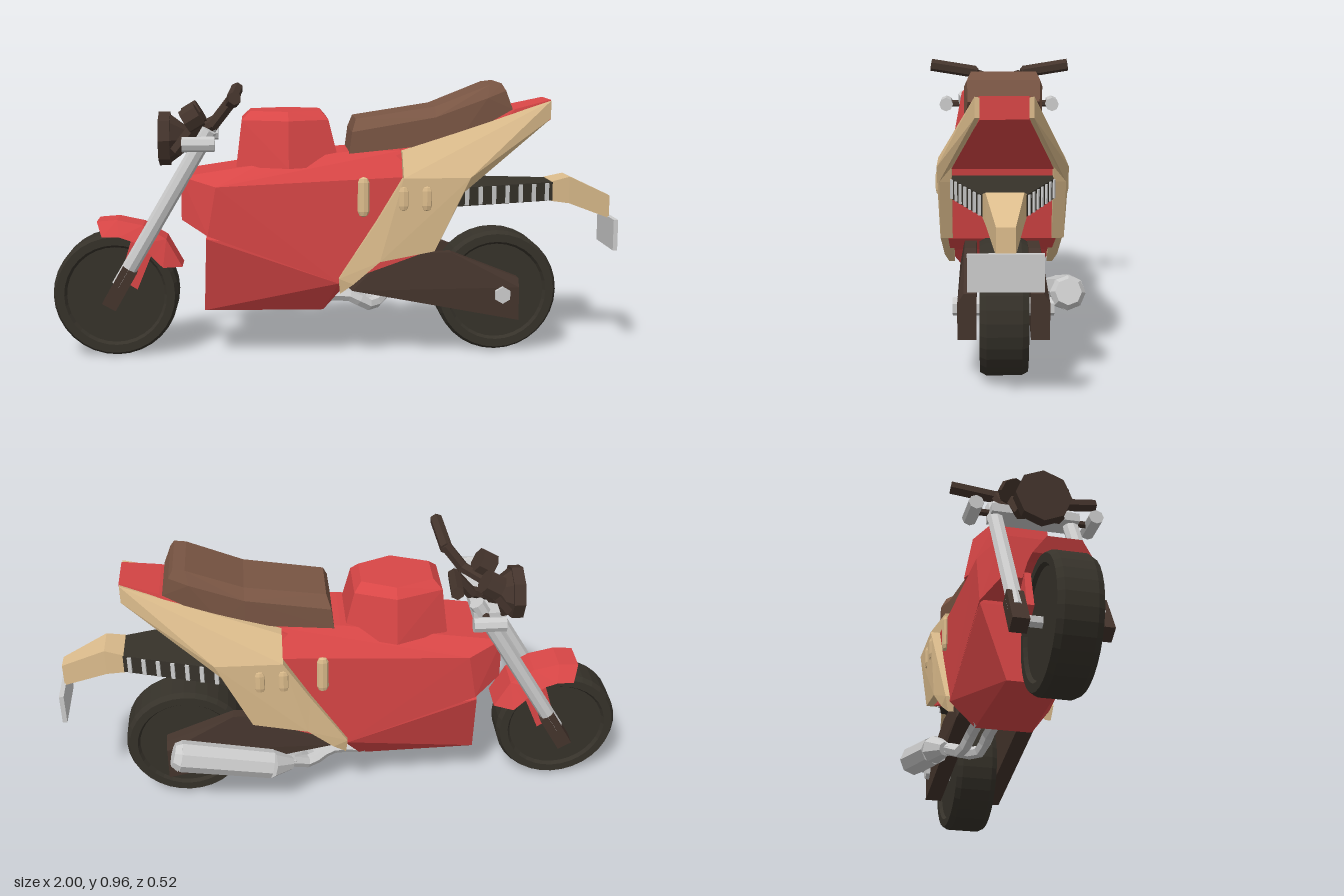
import * as THREE from 'three';
import { ConvexGeometry } from 'three/addons/geometries/ConvexGeometry.js';

const mat = (color) => new THREE.MeshStandardMaterial({ color, flatShading: true });
const red = mat(0xd84646), beige = mat(0xdcbc8c), brown = mat(0x7a5644);
const dark = mat(0x44342c), rubber = mat(0x36322a), grey = mat(0xcccccc);
const V = (p) => new THREE.Vector3(...p);
const flip = ([x, y, z]) => [x, y, -z];

export function createModel() {
  const bike = new THREE.Group();
  const add = (name, geometry, material) => {
    const mesh = new THREE.Mesh(geometry, material);
    mesh.name = name;
    bike.add(mesh);
    return mesh;
  };

  // Faceted solid around points; sym spans both sides, pair repeats it on each side
  const hull = (name, material, pts) => add(name, new ConvexGeometry(pts.map(V)), material);
  const sym = (name, material, pts) => hull(name, material, [...pts, ...pts.map(flip)]);
  const pair = (name, material, pts) => {
    hull(name + 'Left', material, pts);
    hull(name + 'Right', material, pts.map(flip));
  };
  // Panel with an outline in x, y and its own outer z per corner
  const panel = (name, material, inner, pts) =>
    pair(name, material, pts.flatMap(([x, y, z]) => [[x, y, inner], [x, y, z]]));

  const rod = (name, material, a, b, r, sides = 8, r2 = r) => {
    const dir = V(b).sub(V(a));
    const mesh = add(name, new THREE.CylinderGeometry(r2, r, dir.length(), sides), material);
    mesh.position.copy(V(a)).addScaledVector(dir, 0.5);
    mesh.quaternion.setFromUnitVectors(new THREE.Vector3(0, 1, 0), dir.normalize());
    return mesh;
  };
  const box = (name, material, size, pos) => {
    const mesh = add(name, new THREE.BoxGeometry(...size), material);
    mesh.position.set(...pos);
    return mesh;
  };

  // Wheels
  const wheel = (name, x, r, w) => {
    const profile = [[0, -w + 0.012], [r * 0.78, -w + 0.012], [r * 0.82, -w], [r * 0.95, -w], [r, -w + 0.02],
      [r, w - 0.02], [r * 0.95, w], [r * 0.82, w], [r * 0.78, w - 0.012], [0, w - 0.012]];
    const geo = new THREE.LatheGeometry(profile.map((p) => new THREE.Vector2(...p)), 32);
    const mesh = add(name, geo.rotateX(Math.PI / 2), rubber);
    mesh.position.set(x, 0.223, 0);
  };
  wheel('frontWheel', -0.78, 0.219, 0.07);
  wheel('rearWheel', 0.572, 0.217, 0.075);

  // Front mudguard: a chain of faceted segments, with a stay on each side
  const guard = [[-0.84, 0.485, -0.82, 0.435], [-0.77, 0.49, -0.76, 0.435], [-0.68, 0.47, -0.69, 0.41],
    [-0.6, 0.42, -0.645, 0.36], [-0.545, 0.32, -0.61, 0.325]];
  for (let i = 0; i < guard.length - 1; i++) {
    sym('frontMudguard', red, [guard[i], guard[i + 1]].flatMap(([x, y, u, v]) => [[x, y, 0.055], [u, v, 0.095]]));
  }
  panel('mudguardStay', red, 0.075, [[-0.72, 0.42, 0.095], [-0.65, 0.37, 0.095], [-0.7, 0.25, 0.1], [-0.76, 0.29, 0.1]]);

  // Fork, with legs, shoes and clamps
  for (const s of [1, -1]) {
    const z = 0.13 * s;
    rod('forkLeg', grey, [-0.76, 0.27, z], [-0.44, 0.81, z], 0.027, 8);
    const shoe = rod('forkShoe', dark, [-0.795, 0.2, z], [-0.72, 0.33, z], 0.038, 4);
    shoe.rotateY(Math.PI / 4);
    rod('turnSignal', grey, [-0.53, 0.77, 0.205 * s], [-0.42, 0.77, 0.205 * s], 0.026, 8);
    rod('turnSignalStem', dark, [-0.47, 0.77, 0.12 * s], [-0.47, 0.77, 0.2 * s], 0.013, 6);
    // Gauges and handlebars
    rod('gauge', dark, [-0.525, 0.83, 0.075 * s], [-0.475, 0.86, 0.075 * s], 0.045, 8);
    rod('gaugeBracket', dark, [-0.56, 0.73, 0.06 * s], [-0.48, 0.83, 0.075 * s], 0.025, 6);
    rod('handlebarRiser', dark, [-0.5, 0.79, 0.05 * s], [-0.42, 0.83, 0.085 * s], 0.02, 6);
    rod('handlebarBend', dark, [-0.43, 0.82, 0.085 * s], [-0.36, 0.91, 0.1 * s], 0.021, 6);
    rod('grip', dark, [-0.365, 0.9, 0.09 * s], [-0.35, 0.928, 0.258 * s], 0.023, 6);
  }
  rod('frontAxle', grey, [-0.78, 0.225, -0.155], [-0.78, 0.225, 0.155], 0.02, 6);
  box('forkClamp', grey, [0.09, 0.03, 0.3], [-0.475, 0.765, 0]);

  // Headlamp
  rod('headlampRim', dark, [-0.62, 0.77, 0], [-0.58, 0.77, 0], 0.095, 8);
  rod('headlampShell', dark, [-0.58, 0.77, 0], [-0.52, 0.77, 0], 0.085, 8, 0.04);

  // Main fairing and belly
  sym('fairing', red, [[-0.54, 0.65, 0.12], [-0.54, 0.5, 0.12], [-0.45, 0.45, 0.175], [-0.42, 0.62, 0.18],
    [-0.27, 0.69, 0.12], [0.02, 0.73, 0.11], [0.22, 0.735, 0.12], [0.22, 0.65, 0.18], [0.36, 0.64, 0.18],
    [0.31, 0.39, 0.18], [0.12, 0.36, 0.18], [0.0, 0.28, 0.18]]);
  sym('belly', red, [[-0.45, 0.49, 0.12], [-0.455, 0.44, 0.175], [-0.467, 0.17, 0.09], [-0.05, 0.17, 0.1],
    [0.0, 0.28, 0.18], [0.1, 0.36, 0.17]]);

  // Fuel tank: three six-sided rings
  const ring = (y, x0, x1, zEnd, zMid) => [[x0, y, zEnd], [-0.17, y, zMid], [x1, y, zEnd]];
  sym('fuelTank', red, [...ring(0.68, -0.35, 0.01, 0.1, 0.17), ...ring(0.84, -0.33, -0.03, 0.085, 0.14),
    ...ring(0.87, -0.3, -0.055, 0.06, 0.11)]);

  // Tail
  sym('tail', red, [[0.2, 0.72, 0.14], [0.3, 0.63, 0.18], [0.42, 0.64, 0.175], [0.42, 0.775, 0.12],
    [0.62, 0.875, 0.1], [0.752, 0.905, 0.073], [0.752, 0.835, 0.073]]);

  // Seat: front and rear cushions sharing a section
  const seatMid = [[0.34, 0.755, 0.125], [0.34, 0.85, 0.125], [0.34, 0.885, 0.095]];
  sym('seatFront', brown, [[0.04, 0.725, 0.12], [0.05, 0.8, 0.12], [0.065, 0.843, 0.09], ...seatMid]);
  sym('seatRear', brown, [...seatMid, [0.52, 0.915, 0.122], [0.53, 0.96, 0.1], [0.57, 0.965, 0.1],
    [0.585, 0.94, 0.112], [0.61, 0.875, 0.11], [0.42, 0.77, 0.125]]);

  // Side panels
  panel('sidePanelFoot', beige, 0.165, [[0, 0.3, 0.195], [0.005, 0.245, 0.185], [0.05, 0.28, 0.2],
    [0.14, 0.36, 0.212], [0.13, 0.5, 0.205]]);
  panel('sidePanel', beige, 0.165, [[0.13, 0.5, 0.205], [0.14, 0.36, 0.212], [0.33, 0.395, 0.205],
    [0.43, 0.6, 0.205], [0.45, 0.65, 0.213], [0.22, 0.65, 0.215]]);
  pair('tailPanel', beige, [[0.22, 0.65, 0.215], [0.43, 0.6, 0.205], [0.45, 0.65, 0.213], [0.22, 0.735, 0.16],
    [0.43, 0.76, 0.15], [0.75, 0.903, 0.088], [0.75, 0.84, 0.088], [0.75, 0.9, 0.07], [0.75, 0.84, 0.07],
    [0.22, 0.735, 0.12], [0.43, 0.77, 0.11], [0.4, 0.63, 0.17], [0.22, 0.65, 0.16]]);

  // Raised vents on fairing and panels
  for (const s of [1, -1]) {
    for (const [x, y, h, z] of [[0.085, 0.583, 0.14, 0.185], [0.22, 0.58, 0.09, 0.209], [0.3, 0.58, 0.09, 0.209]]) {
      const vent = add('vent', new THREE.CapsuleGeometry(0.02, h - 0.04, 2, 8), beige);
      vent.position.set(x, y, z * s);
      vent.scale.z = 0.6;
    }
  }

  // Ribbed under-tail with grey strips along its tapering sides
  sym('underTail', rubber, [[0.36, 0.545, 0.17], [0.36, 0.61, 0.17], [0.42, 0.545, 0.17], [0.42, 0.61, 0.17],
    [0.77, 0.547, 0.065], [0.77, 0.613, 0.065]]);
  for (const s of [1, -1]) {
    for (let i = 0; i < 7; i++) {
      const t = (i + 0.5) / 7;
      const strip = box('rib', grey, [0.014, 0.062, 0.012], [0.42 + 0.35 * t, 0.579, s * (0.17 - 0.105 * t)]);
      strip.rotation.y = s * 0.29;
    }
  }

  // Plate holder and blank plate
  const bend = [[0.83, 0.63, 0.057], [0.83, 0.535, 0.057]];
  sym('plateHolder', beige, [[0.765, 0.615, 0.066], [0.765, 0.545, 0.066], ...bend]);
  sym('plateHolderTip', beige, [...bend, [0.985, 0.557, 0.028], [0.985, 0.475, 0.028]]);
  box('rearPlate', grey, [0.016, 0.11, 0.22], [0.988, 0.427, 0]);

  // Swingarm and rear axle
  panel('swingarm', dark, 0.085, [[0.02, 0.27, 0.13], [0.18, 0.37, 0.125], [0.4, 0.375, 0.125],
    [0.64, 0.28, 0.125], [0.64, 0.25, 0.145], [0.64, 0.132, 0.145], [0.05, 0.245, 0.145]]);
  rod('rearAxle', grey, [0.58, 0.225, -0.16], [0.58, 0.225, 0.16], 0.03, 6);

  // Exhaust: two header pipes joining a muffler on the right side
  for (const z of [-0.03, -0.09]) {
    const path = new THREE.CatmullRomCurve3([[-0.07, 0.19, z], [0.05, 0.19, z], [0.13, 0.15, z - 0.02],
      [0.2, 0.18, -0.14], [0.27, 0.195, -0.17]].map(V));
    add('exhaustPipe', new THREE.TubeGeometry(path, 10, 0.023, 6), grey);
  }
  rod('mufflerNeck', grey, [0.2, 0.18, -0.155], [0.27, 0.2, -0.18], 0.025, 8, 0.052);
  rod('muffler', grey, [0.27, 0.2, -0.18], [0.59, 0.272, -0.202], 0.052, 8, 0.057);
  rod('mufflerCap', grey, [0.59, 0.272, -0.202], [0.615, 0.28, -0.203], 0.057, 8, 0.042);

  return bike;
}
